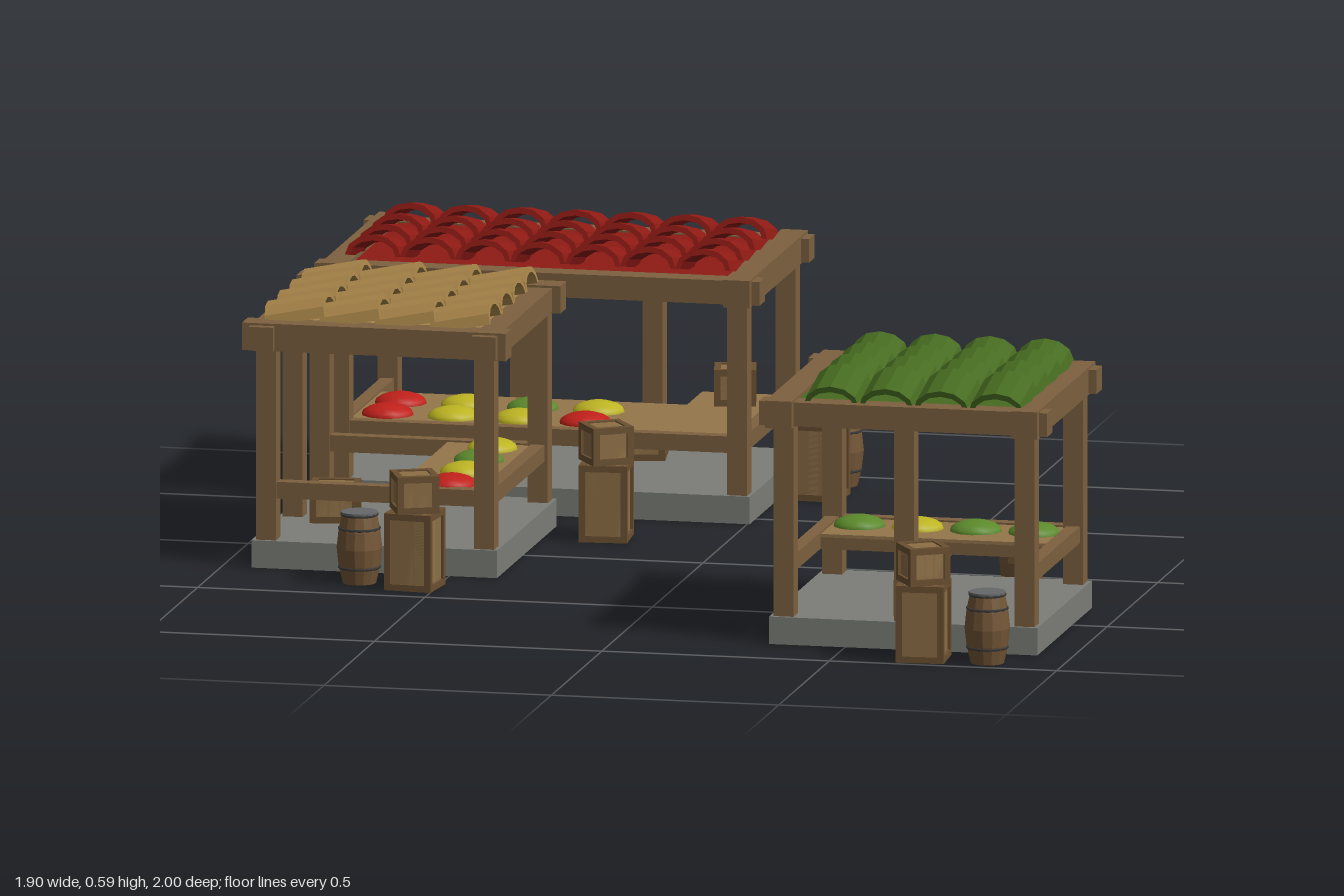
import * as THREE from 'three';

const mat = (color, extra = {}) => new THREE.MeshStandardMaterial({ color, ...extra });
const WOOD = mat(0x7d6140), BOARD = mat(0x94764b), CRATE = mat(0x8c6e45), TRIM = mat(0x6b5031);
const STONE = mat(0x7c7e78), LID = mat(0x66686a), HOOP = mat(0x3a3a3a), STAVE = mat(0x745636, { flatShading: true });
const GOODS = { r: mat(0xc0201a), y: mat(0xbdb422), g: mat(0x5c8a2c) };

function add(parent, name, geometry, material, x = 0, y = 0, z = 0) {
  const mesh = new THREE.Mesh(geometry, material);
  mesh.name = name;
  mesh.position.set(x, y, z);
  parent.add(mesh);
  return mesh;
}

const box = (parent, name, w, h, d, material, x, y, z) =>
  add(parent, name, new THREE.BoxGeometry(w, h, d), material, x, y, z);

// Half-round roof tile: an arched shell extruded along z
function tileGeometry(length) {
  const shape = new THREE.Shape();
  const n = 6;
  for (let i = 0; i <= n; i++) {
    const a = Math.PI * i / n;
    shape[i ? 'lineTo' : 'moveTo'](0.061 * Math.cos(a), 0.046 * Math.sin(a));
  }
  for (let i = n; i >= 0; i--) {
    const a = Math.PI * i / n;
    shape.lineTo(0.05 * Math.cos(a), 0.033 * Math.sin(a));
  }
  const g = new THREE.ExtrudeGeometry(shape, { depth: length, bevelEnabled: false });
  return g.translate(0, 0, -length / 2);
}

// Wooden crate standing on its own origin: planked core with a frame along every edge
function crate(name, w, h) {
  const g = new THREE.Group();
  g.name = name;
  const t = 0.014, e = w / 2 - t / 2;
  box(g, 'crateCore', w - 0.012, h - 0.006, w - 0.012, CRATE, 0, h / 2, 0);
  for (const s of [-1, 1]) {
    for (const u of [-1, 1]) box(g, 'cornerStrip', t, h, t, TRIM, s * e, h / 2, u * e);
    for (const y of [t / 2, h - t / 2]) {
      box(g, 'edgeStrip', w - 2 * t, t, t, TRIM, 0, y, s * e);
      box(g, 'edgeStrip', t, t, w - 2 * t, TRIM, s * e, y, 0);
    }
    // Raised planks on the four sides
    for (const p of [-1, 0, 1]) {
      const step = (w - 2 * t) / 3;
      box(g, 'sidePlank', step - 0.003, h - 2 * t, 0.004, BOARD, p * step, h / 2, s * (e - 0.001));
      box(g, 'sidePlank', 0.004, h - 2 * t, step - 0.003, BOARD, s * (e - 0.001), h / 2, p * step);
    }
  }
  return g;
}

// Tall crate with a smaller one turned on top
function crateStack(x, z, turn) {
  const g = new THREE.Group();
  g.name = 'crateStack';
  const top = crate('upperCrate', 0.092, 0.082);
  top.position.y = 0.168;
  top.rotation.y = 0.5;
  g.add(crate('lowerCrate', 0.105, 0.168), top);
  g.position.set(x, 0, z);
  g.rotation.y = turn;
  return g;
}

// Barrel with bulging staves, hoops and a recessed lid
function barrel(x, z) {
  const g = new THREE.Group();
  g.name = 'barrel';
  const profile = [[0, 0], [0.036, 0], [0.045, 0.04], [0.049, 0.077], [0.045, 0.115], [0.037, 0.154], [0.031, 0.154], [0.031, 0.147]];
  add(g, 'staves', new THREE.LatheGeometry(profile.map(p => new THREE.Vector2(...p)), 14), STAVE);
  add(g, 'lid', new THREE.CylinderGeometry(0.04, 0.04, 0.006, 14), LID, 0, 0.153, 0);
  for (const [y, r] of [[0.035, 0.044], [0.12, 0.044], [0.15, 0.039]]) {
    const hoop = add(g, 'hoop', new THREE.TorusGeometry(r, 0.003, 4, 14), HOOP, 0, y, 0);
    hoop.rotation.x = Math.PI / 2;
  }
  g.position.set(x, 0, z);
  return g;
}

// Market stall whose open counter faces +z
function stall({ name, width: W, color, columns, roofShift, backPosts, rows, firstX, pitch, turn, x, z }) {
  const g = new THREE.Group();
  g.name = name;
  const D = 0.54, px = W / 2 - 0.03, pz = D / 2 - 0.03;
  box(g, 'stoneBase', W, 0.06, D, STONE, 0, 0.03, 0);

  // Posts: four corners plus evenly spaced ones along the back
  const post = (u, v) => box(g, 'post', 0.044, 0.43, 0.044, WOOD, u, 0.275, v);
  for (const s of [-1, 1]) post(s * px, pz);
  for (let i = 0; i <= backPosts + 1; i++) post(-px + 2 * px * i / (backPosts + 1), -pz);

  // Crossing top beams and side rails
  for (const s of [-1, 1]) {
    box(g, 'longBeam', W + 0.044, 0.052, 0.054, WOOD, 0, 0.505, s * (D / 2 - 0.025));
    box(g, 'crossBeam', 0.058, 0.06, D + 0.04, WOOD, s * (W / 2 - 0.025), 0.506, 0);
    box(g, 'sideRail', 0.03, 0.036, 2 * pz, WOOD, s * px, 0.169, 0);
  }

  // Counter
  const depth = 0.07 + 0.13 * rows.length;
  box(g, 'counterRail', 2 * px, 0.036, 0.03, WOOD, 0, 0.169, pz);
  box(g, 'counterBoard', 2 * px, 0.014, depth, BOARD, 0, 0.176, pz - depth / 2);
  box(g, 'counterSupport', 2 * px, 0.026, 0.025, WOOD, 0, 0.163, pz - depth + 0.012);

  // Heaps of produce
  const heap = new THREE.SphereGeometry(1, 12, 4, 0, Math.PI * 2, 0, Math.PI / 2);
  rows.forEach((row, r) => [...row].forEach((c, i) => {
    add(g, 'produceHeap', heap, GOODS[c], firstX + pitch * i, 0.181, D / 2 - 0.12 - 0.13 * r).scale.set(0.058, 0.026, 0.056);
  }));

  // Roof panel and tiles, each tile tipped up towards the counter
  const roof = mat(color, { flatShading: true });
  box(g, 'roofPanel', W - 0.09, 0.012, D - 0.09, roof, 0, 0.522, 0);
  const step = 0.121, tile = tileGeometry(0.132);
  for (let c = 0; c < columns; c++) {
    for (let r = 0; r < 4; r++) {
      const t = add(g, 'roofTile', tile, roof, roofShift + (c - (columns - 1) / 2) * step, 0.534, (r - 1.5) * step);
      t.rotation.x = -0.2;
    }
  }
  g.position.set(x, 0, z);
  g.rotation.y = turn;
  return g;
}

function place(group, parent, x, y, z, turn = 0) {
  group.position.set(x, y, z);
  group.rotation.y = turn;
  parent.add(group);
}

export function createModel() {
  const model = new THREE.Group();
  model.name = 'marketStalls';

  const red = stall({
    name: 'redStall', width: 0.935, color: 0x8f1a14, columns: 7, roofShift: -0.004, backPosts: 2,
    rows: ['ryyr', 'rygy'], firstX: -0.355, pitch: 0.145, turn: 0, x: -0.4625, z: -0.71,
  });
  // Side counter with a crate on it
  box(red, 'sideCounter', 0.19, 0.014, 0.2, BOARD, 0.345, 0.176, -0.14);
  place(crate('counterCrate', 0.09, 0.08), red, 0.347, 0.184, -0.13, 0.2);
  place(crate('storedCrate', 0.105, 0.08), red, 0.145, 0.06, -0.12, 0.15);

  const yellow = stall({
    name: 'yellowStall', width: 0.59, color: 0xa88549, columns: 4, roofShift: -0.018, backPosts: 1,
    rows: ['rygy'], firstX: -0.205, pitch: 0.135, turn: Math.PI / 2, x: -0.665, z: -0.035,
  });
  place(crate('storedCrate', 0.105, 0.08), yellow, -0.025, 0.06, -0.145, 0.15);

  const green = stall({
    name: 'greenStall', width: 0.59, color: 0x466b20, columns: 4, roofShift: -0.018, backPosts: 1,
    rows: ['ggyg'], firstX: -0.195, pitch: 0.128, turn: Math.PI, x: 0.628, z: 0.575,
  });
  place(crate('storedCrate', 0.105, 0.08), green, -0.01, 0.06, -0.15, 0.15);
  model.add(red, yellow, green);

  // Goods standing around the stalls
  for (const [x, z, turn] of [[-0.546, 0.395, -0.1], [-0.262, -0.222, 0.08], [0.087, -0.767, -0.08], [0.692, 0.933, 0.06]]) {
    model.add(crateStack(x, z, turn));
  }
  for (const [x, z] of [[-0.673, 0.37], [0.102, -0.908], [0.746, 0.2], [0.835, 0.943]]) model.add(barrel(x, z));
  return model;
}
